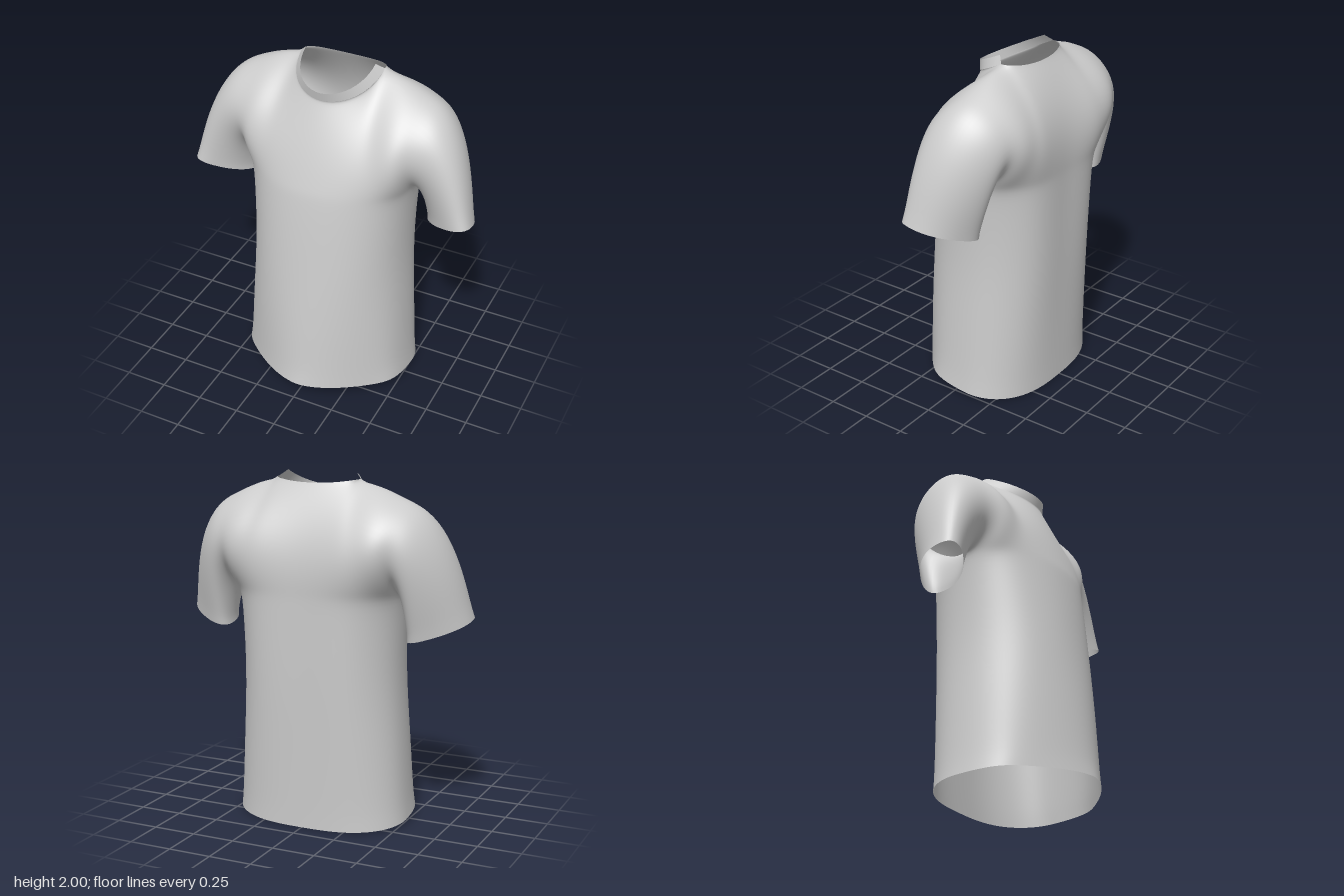
import * as THREE from 'three';
import { mergeGeometries, mergeVertices } from 'three/addons/utils/BufferGeometryUtils.js';

const COLS = 48, LOW = 24, UP = 24, ARMPIT = 1.33, SIDE_Z = -0.09;
const lerp = THREE.MathUtils.lerp;
const mix = (a, b, t) => a.map((v, i) => lerp(v, b[i], t));

// Smooth value from a short list of [y, value] pairs
function profile(pairs) {
  const pts = new THREE.SplineCurve(pairs.map(p => new THREE.Vector2(...p))).getPoints(80);
  return y => {
    const i = Math.max(pts.findIndex(p => p.x >= y), 1), a = pts[i - 1], b = pts[i];
    return lerp(a.y, b.y, (y - a.x) / (b.x - a.x));
  };
}
const halfWidth = profile([[0, 0.515], [0.4, 0.492], [0.8, 0.47], [1.1, 0.475], [1.3, 0.488], [1.4, 0.495]]);
const frontZ = profile([[0, 0.455], [0.4, 0.42], [0.8, 0.374], [1.15, 0.334], [1.4, 0.295]]);
const backZ = profile([[0, -0.4], [0.4, -0.415], [0.8, -0.432], [1.15, -0.441], [1.4, -0.445]]);

// Surface through rows of points
function sheet(rows, flip = false) {
  const n = rows[0].length, index = [];
  for (let i = 0; i < rows.length - 1; i++) {
    for (let j = 0; j < n - 1; j++) {
      const a = i * n + j, b = a + 1, d = a + n, c = d + 1;
      index.push(...(flip ? [a, c, b, a, d, c] : [a, b, c, a, c, d]));
    }
  }
  const g = new THREE.BufferGeometry();
  g.setAttribute('position', new THREE.Float32BufferAttribute(rows.flat(2), 3));
  g.setIndex(index);
  return g;
}

// Let the cloth settle: average each point with its neighbours, keeping open edges fixed
function relax(g, passes) {
  const p = g.attributes.position, idx = g.index.array;
  const links = Array.from({ length: p.count }, () => new Map());
  const link = (a, b) => links[a].set(b, (links[a].get(b) || 0) + 1);
  for (let i = 0; i < idx.length; i += 3) {
    for (let k = 0; k < 3; k++) {
      const a = idx[i + k], b = idx[i + (k + 1) % 3];
      link(a, b);
      link(b, a);
    }
  }
  const free = links.map(m => [...m.values()].every(uses => uses > 1));
  for (let s = 0; s < passes; s++) {
    const old = p.array.slice();
    links.forEach((m, v) => {
      if (!free[v]) return;
      for (let k = 0; k < 3; k++) {
        let sum = 0;
        for (const n of m.keys()) sum += old[n * 3 + k];
        p.array[v * 3 + k] = lerp(old[v * 3 + k], sum / m.size, 0.5);
      }
    });
  }
  return g;
}

// Point on the torso below the armpits; c runs -1..1 across, r runs 0..1 up
function lowerPoint(c, r, front) {
  const u = Math.sin(c * Math.PI / 2), y = r * ARMPIT, a = Math.abs(u);
  const root = (power, e) => Math.pow(Math.max(1 - Math.pow(a, power), 0), e);
  // The front hangs to a soft point at the hem and is fuller above
  const s = front
    ? lerp((1 - 0.6 * Math.pow(a, 1.7)) * root(24, 0.5), root(2.2, 0.45), Math.min(r / 0.6, 1))
    : root(2.8, 0.5);
  let z = lerp(SIDE_Z, front ? frontZ(y) : backZ(y), s);
  // Hollow down the spine
  if (!front) z += 0.015 * r * (Math.exp(-Math.pow(u / 0.2, 2)) - Math.exp(-Math.pow((a - 0.6) / 0.2, 2)));
  if (a > 0.9999) z = SIDE_Z;
  return [halfWidth(y) * u, lerp(0.035 + 0.078 * z, ARMPIT, r), z];
}

// Shoulder seams and neckline
const NECK = [0.25, 1.966, -0.155], TIP = [0.52, 1.868, -0.145];
function topPoint(c, front) {
  const a = Math.abs(c), sign = Math.sign(c);
  if (a >= 0.5) {
    const k = (a - 0.5) * 2, p = mix(NECK, TIP, k);
    return [p[0] * sign, p[1] + 0.014 * Math.sin(Math.PI * k), p[2]];
  }
  const k = Math.cos(c * Math.PI), x = NECK[0] * Math.sin(c * Math.PI);
  return front
    ? [x, NECK[1] - 0.126 * k, NECK[2] + 0.265 * k]
    : [x, NECK[1] - 0.021 * k * k, NECK[2] - 0.105 * Math.pow(k, 0.75)];
}

// Point on chest or back between armpit level and the top edge
function upperPoint(c, s, front) {
  const t = (1 - Math.cos(Math.PI * s)) / 2, a = Math.abs(Math.sin(c * Math.PI / 2));
  const p = mix(lowerPoint(c, 1, front), topPoint(c, front), t);
  const arch = Math.pow(Math.max(Math.sin(Math.PI * t), 0), 1 - 0.4 * a * a * a);
  p[2] += arch * (front ? 0.012 + 0.23 * Math.pow(a, 2.4) : -0.07 - 0.215 * Math.pow(a, 2.2));
  return p;
}

function panel(front) {
  const rows = [];
  for (let i = 0; i <= LOW + UP; i++) {
    rows.push(Array.from({ length: COLS + 1 }, (_, j) => {
      const c = (j / COLS * 2 - 1) * (front ? 1 : -1);
      return i <= LOW ? lowerPoint(c, i / LOW, front) : upperPoint(c, (i - LOW) / UP, front);
    }));
  }
  return sheet(rows);
}

// Sleeve swept from the armhole through a guide ring to the cuff
function sleeve(side) {
  const soft = (v, e) => Math.sign(v) * Math.pow(Math.abs(v), e);
  const ring = (o, u, v, f, e) =>
    o.map((x, i) => x - u[i] * soft(Math.cos(f), e) + v[i] * soft(Math.sin(f), e));
  const rows = [], steps = 22;
  for (let i = 0; i <= steps; i++) {
    const k = i / steps, row = [];
    for (let j = 0; j <= 2 * UP; j++) {
      const f = j / UP * Math.PI;
      const hole = j <= UP ? upperPoint(1, j / UP, true) : upperPoint(1, 2 - j / UP, false);
      const guide = ring([0.645, 1.575, -0.145], [0.115, 0.24, 0.03], [0, 0, 0.23], f, 0.95);
      const cuff = ring([0.705, 1.157, -0.085], [0.155, 0.05, 0.08], [0, 0.025, 0.14], f, 0.85);
      const p = mix(mix(hole, guide, k), mix(guide, cuff, k), k);
      row.push([p[0] * side, p[1], p[2]]);
    }
    rows.push(row);
  }
  return sheet(rows, side > 0);
}

// Standing band round the front half of the neck
function collarBand() {
  const rows = [0, 0.5, 1].map(k => Array.from({ length: COLS / 2 + 1 }, (_, j) => {
    const c = j / (COLS / 2) - 0.5, h = Math.cos(c * Math.PI);
    const top = [0.21 * Math.sin(c * Math.PI), 2 - 0.108 * h, -0.12 + 0.242 * h];
    return mix(topPoint(c, true), top, k);
  }));
  return sheet(rows);
}

export function createModel() {
  const cloth = new THREE.MeshStandardMaterial({ color: 0xcccccc, side: THREE.DoubleSide });
  cloth.name = 'light grey cloth';
  const model = new THREE.Group();
  model.name = 'shirt';
  const add = (name, geometry) => {
    geometry.computeVertexNormals();
    const mesh = new THREE.Mesh(geometry, cloth);
    mesh.name = name;
    model.add(mesh);
  };
  // Panels and sleeves are welded so the cloth shades smoothly across seams
  const pieces = [panel(true), panel(false), sleeve(1), sleeve(-1)];
  add('bodyAndSleeves', relax(mergeVertices(mergeGeometries(pieces), 1e-4), 13));
  add('collar', collarBand());
  return model;
}
